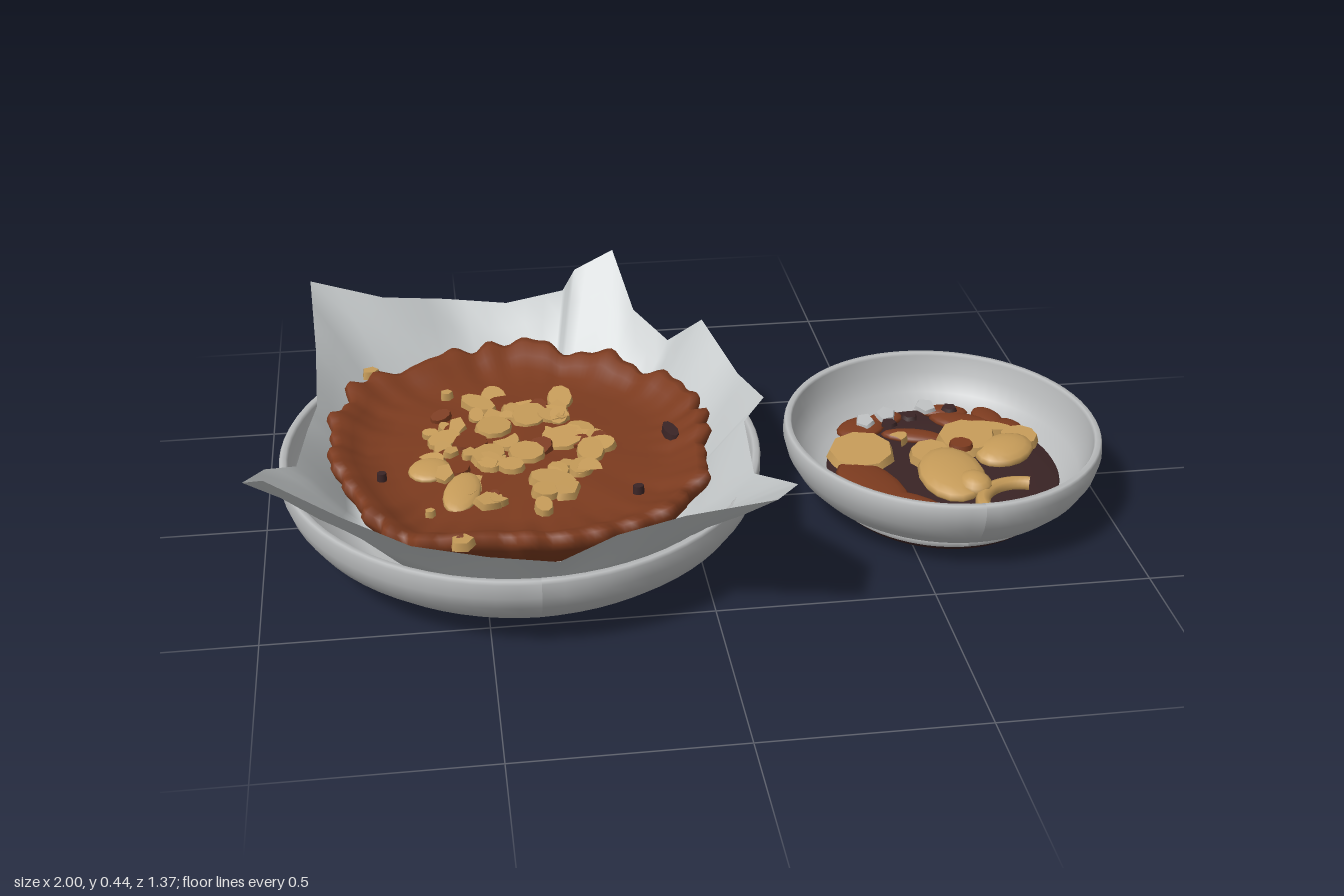
import * as THREE from 'three';

const mat = (name, color, extra = {}) => {
  const m = new THREE.MeshStandardMaterial({ color, ...extra });
  m.name = name;
  return m;
};

let seed = 11;
const rand = () => (seed = (seed * 16807) % 2147483647) / 2147483647;
const V = (x, y, z) => new THREE.Vector3(x, y, z);

// Surface through closed rings of equal length, first ring innermost on top
function loft(rings) {
  const n = rings[0].length, pos = [], idx = [];
  rings.forEach(r => r.forEach(p => pos.push(p.x, p.y, p.z)));
  for (let i = 0; i < rings.length - 1; i++) {
    for (let j = 0; j < n; j++) {
      const a = i * n + j, b = i * n + (j + 1) % n;
      idx.push(a, b, a + n, b, b + n, a + n);
    }
  }
  const g = new THREE.BufferGeometry();
  g.setAttribute('position', new THREE.Float32BufferAttribute(pos, 3));
  g.setIndex(idx);
  g.computeVertexNormals();
  return g;
}

// Oval vessel turned from a profile of [radius fraction, height]
function oval(profile, rx, rz) {
  const g = new THREE.LatheGeometry(profile.map(p => new THREE.Vector2(...p)), 72);
  g.scale(rx, 1, rz);
  g.computeVertexNormals();
  return g;
}

export function createModel() {
  const M = {
    ceramic: mat('ceramic grey', 0xb9bbbc),
    paper: mat('baking paper', 0xc2c6c7, { side: THREE.DoubleSide }),
    crust: mat('brown crust', 0x7c3b1f),
    nut: mat('golden nut', 0xc49a58),
    dark: mat('dark glaze', 0x3a2425),
  };
  const model = new THREE.Group();
  const add = (name, geo, m, x = 0, y = 0, z = 0, parent = model) => {
    const mesh = new THREE.Mesh(geo, m);
    mesh.name = name;
    mesh.position.set(x, y, z);
    parent.add(mesh);
    return mesh;
  };

  // Large serving dish
  add('servingDish', oval([
    [0, 0.01], [0.64, 0.01], [0.69, 0.006], [0.71, 0], [0.74, 0], [0.78, 0.015], [0.87, 0.052], [0.94, 0.085],
    [0.98, 0.118], [1, 0.15], [1, 0.183], [0.992, 0.19], [0.972, 0.19], [0.963, 0.183],
    [0.95, 0.14], [0.9, 0.1], [0.8, 0.06], [0.7, 0.03], [0, 0.03],
  ], 0.565, 0.635), M.ceramic, -0.392, 0, 0);

  // Crumpled baking paper: rim points [x, z, height], clockwise from above
  const rim = [
    [0.19, 0, 0.27], [0.14, 0.02, 0.22], [0.12, 0.28, 0.22], [0.16, 0.45, 0.29], [0.17, 0.54, 0.33],
    [0.1, 0.68, 0.375], [-0.08, 0.59, 0.3], [-0.22, 0.53, 0.23], [-0.35, 0.575, 0.2], [-0.5, 0.55, 0.21],
    [-0.66, 0.55, 0.25], [-0.8, 0.55, 0.33], [-0.95, 0.57, 0.44], [-1, 0.48, 0.39],
    [-0.975, 0.2, 0.27], [-0.91, 0.12, 0.23], [-0.89, -0.1, 0.21], [-0.87, -0.22, 0.21],
    [-0.87, -0.4, 0.28], [-0.88, -0.62, 0.37], [-0.7, -0.63, 0.31], [-0.54, -0.69, 0.27],
    [-0.38, -0.675, 0.255], [-0.23, -0.68, 0.28], [-0.2, -0.65, 0.35], [-0.1, -0.65, 0.4],
    [-0.06, -0.53, 0.28], [0.02, -0.46, 0.22], [0.1, -0.4, 0.3], [0.16, -0.2, 0.24],
  ];
  const edge = [];
  rim.forEach((p, i) => {
    const a = V(p[0], p[2], p[1]), q = rim[(i + 1) % rim.length], b = V(q[0], q[2], q[1]);
    for (let k = 0; k < 3; k++) edge.push(a.clone().lerp(b, k / 3));
  });
  const base = edge.map(p => {
    const a = Math.atan2(p.z / 0.635, (p.x + 0.39) / 0.565);
    return V(-0.39 + 0.39 * Math.cos(a), 0.05, 0.44 * Math.sin(a));
  });
  const sheet = [base.map(() => V(-0.39, 0.045, 0)), base];
  for (const t of [0.25, 0.5, 0.75, 1]) {
    sheet.push(base.map((b, j) => {
      const p = b.clone().lerp(edge[j], t);
      if (t < 1) p.y += 0.008 * Math.sin(p.x * 19 + 1) * Math.sin(p.z * 17) + 0.006;
      return p;
    }));
  }
  add('bakingPaper', loft(sheet), M.paper);

  // Tart with a raised, unevenly crimped crust
  const outline = new THREE.CatmullRomCurve3([
    [0.05, 0], [0.04, 0.1], [0.01, 0.25], [-0.1, 0.4], [-0.3, 0.48], [-0.5, 0.46], [-0.68, 0.44],
    [-0.75, 0.32], [-0.8, 0.18], [-0.84, 0], [-0.83, -0.18], [-0.77, -0.36], [-0.62, -0.45],
    [-0.5, -0.52], [-0.37, -0.55], [-0.22, -0.48], [-0.1, -0.4], [0, -0.29], [0.06, -0.15],
  ].map(([x, z]) => V(x, 0, z)), true).getSpacedPoints(200).slice(0, 200);
  const centre = V(-0.39, 0, -0.03);
  const tart = [
    [0, 0.172], [0.25, 0.172], [0.5, 0.168], [0.68, 0.163], [0.8, 0.168], [0.88, 0.187],
    [0.94, 0.204], [0.985, 0.204], [1, 0.188], [0.985, 0.168], [0.9, 0.115], [0.72, 0.062], [0, 0.06],
  ].map(([f, y]) => outline.map((p, j) => {
    const a = j / 200 * Math.PI * 2, e = Math.max(0, (f - 0.7) / 0.3);
    const ruffle = 0.016 * Math.sin(a * 23 + 3 * Math.sin(a * 3)) + 0.014 * Math.sin(a * 13 + 2)
      + 0.012 * Math.sin(a * 37 + 1);
    const q = centre.clone().lerp(p, f * (1 + e * e * ruffle));
    q.y = y + e * 0.35 * ruffle + (f > 0 && f < 0.9 ? 0.003 * Math.sin(q.x * 31) * Math.sin(q.z * 27) : 0);
    return q;
  }));
  add('tart', loft(tart), M.crust);

  // Nut pieces: flat angular slices, a few rounded ones
  const round = new THREE.SphereGeometry(1, 16, 8);
  const slice = new THREE.CylinderGeometry(0.9, 1, 1.6, 9);
  const half = new THREE.CylinderGeometry(0.9, 1, 1.6, 8, 1, false, 0, Math.PI * 1.1);
  const chip = new THREE.CylinderGeometry(0.85, 1, 1.6, 5);
  const cuts = [slice, half, chip];
  const topping = new THREE.Group();
  topping.name = 'tartTopping';
  model.add(topping);
  const piece = (name, m, x, y, z, w, h, d, turn, geo = round, parent = topping, tilt = 0) => {
    const p = add(name, geo, m, x, y, z, parent);
    p.scale.set(w, h, d);
    p.rotation.set(tilt, turn, tilt * 0.6);
  };
  [
    [-0.61, 0.08, 0.05, 0.048], [-0.54, 0.2, 0.075, 0.042], [-0.36, -0.16, 0.045, 0.055],
    [-0.45, -0.11, 0.05, 0.045], [-0.38, 0.03, 0.05, 0.045], [-0.29, -0.03, 0.055, 0.05],
    [-0.23, 0.04, 0.05, 0.035], [-0.33, 0.17, 0.06, 0.035], [-0.47, 0.03, 0.05, 0.04],
    [-0.48, -0.24, 0.06, 0.03], [-0.57, -0.06, 0.045, 0.035], [-0.36, 0.29, 0.03, 0.022],
    [-0.35, 0.22, 0.035, 0.03], [-0.26, 0.12, 0.04, 0.03], [-0.42, 0.09, 0.035, 0.03],
  ].forEach(([x, z, w, d], i) =>
    piece('nut', M.nut, x, 0.176, z, w, 0.013, d, i * 1.3, i < 2 ? round : slice, topping, 0.12));
  for (let i = 0; i < 50; i++) {
    const a = rand() * Math.PI * 2, r = Math.sqrt(rand()), s = 0.015 + rand() * 0.02;
    const crumb = i % 6 === 0;
    piece(crumb ? 'crustCrumb' : 'nutChip', crumb ? M.crust : M.nut, -0.4 + 0.22 * r * Math.cos(a),
      0.177, -0.01 + 0.29 * r * Math.sin(a), s * 1.35, 0.01, s, rand() * 6, cuts[i % 3], topping, 0.2);
  }
  // Stray chips and dark spots near the crust
  [[-0.74, -0.41, 0.024, 0.2], [-0.55, 0.465, 0.03, 0.2], [-0.555, -0.32, 0.018, 0.17],
    [-0.615, 0.275, 0.014, 0.17]].forEach(([x, z, s, y]) =>
    piece('strayChip', M.nut, x, y, z, s, 0.012, s * 0.9, 0.4, chip));
  [[-0.03, -0.03, 0.018, 0.045], [-0.14, 0.24, 0.014, 0.012], [-0.72, 0.1, 0.012, 0.012]].forEach(
    ([x, z, w, d]) => piece('darkSpot', M.dark, x, 0.178, z, w, 0.012, d, 0.2, slice));

  // Small bowl with a grey foot ring and a dark underside
  const bowl = new THREE.Group();
  bowl.name = 'smallBowl';
  bowl.position.set(0.62, 0, 0.037);
  model.add(bowl);
  add('bowlBody', oval([
    [0, 0.03], [0.7, 0.03], [0.74, 0.038], [0.84, 0.06], [0.92, 0.09], [0.975, 0.125], [1, 0.16],
    [0.995, 0.183], [0.985, 0.19], [0.955, 0.19], [0.945, 0.183], [0.93, 0.14], [0.87, 0.095],
    [0.77, 0.065], [0.65, 0.05], [0, 0.05],
  ], 0.38, 0.417), M.ceramic, 0, 0, 0, bowl);
  add('footRing', oval([[0.68, 0.012], [0.7, 0.015], [0.7, 0.028], [0.69, 0.034]], 0.38, 0.417),
    M.ceramic, 0, 0, 0, bowl);
  add('footUnderside', oval([[0, 0.012], [0.58, 0.012], [0.61, 0], [0.66, 0], [0.68, 0.012]], 0.38, 0.417),
    M.dark, 0, 0, 0, bowl);
  add('darkSauce', oval([[0.74, 0.06], [0.72, 0.072], [0.5, 0.076], [0, 0.076]], 0.38, 0.417),
    M.dark, 0.01, 0, 0, bowl);

  // Sauce streaks, nuts and crumbs inside the small bowl
  const fill = new THREE.Group();
  fill.name = 'bowlFilling';
  model.add(fill);
  [
    [0.435, 0.13, 0.07, 0.14, 0.25], [0.52, 0.25, 0.05, 0.11, 0.7], [0.47, -0.17, 0.07, 0.05, 0.6],
    [0.74, -0.16, 0.1, 0.045, -0.6], [0.8, -0.18, 0.035, 0.06, 0.2], [0.84, -0.11, 0.035, 0.06, 0.1],
    [0.59, -0.11, 0.08, 0.03, -0.3], [0.7, -0.23, 0.06, 0.03, -0.2], [0.54, -0.21, 0.05, 0.03, 0.3],
  ].forEach(([x, z, w, d, t]) => piece('brownStreak', M.crust, x, 0.08, z, w, 0.015, d, t, round, fill));
  [
    [0.44, -0.03, 0.085, 0.085, 0.4, slice], [0.63, 0.12, 0.08, 0.115, 0, round], [0.71, -0.05, 0.075, 0.075, 0.3, slice],
    [0.79, 0.01, 0.08, 0.06, 0.5, round], [0.84, -0.04, 0.05, 0.05, 0, slice], [0.6, 0.02, 0.055, 0.05, 0.8, slice],
    [0.54, -0.08, 0.035, 0.02, 0.5, half], [0.78, -0.1, 0.065, 0.022, -0.4, slice], [0.67, 0.18, 0.04, 0.045, 0.3, round],
  ].forEach(([x, z, w, d, t, geo], i) =>
    piece('bowlNut', M.nut, x, 0.088 + (i % 3) * 0.005, z, w, geo === round ? 0.026 : 0.013, d, t, geo, fill, 0.08));
  piece('nutCore', M.crust, 0.68, 0.113, 0.01, 0.03, 0.008, 0.03, 0, slice, fill);
  const crescent = add('nutCrescent', new THREE.TorusGeometry(0.1, 0.018, 8, 20, 2.5), M.nut, 0.77, 0.085, 0.27, fill);
  crescent.rotation.set(-Math.PI / 2, 0, 1.2);
  [[0.48, -0.17], [0.65, -0.23], [0.54, -0.2]].forEach(([x, z], i) => {
    piece('paleFlake', M.ceramic, x, 0.1, z, 0.026, 0.006, 0.03, i, chip, fill, 0.2);
    piece('darkCrumb', M.dark, x + 0.06, 0.095, z + 0.01, 0.022, 0.006, 0.022, i, chip, fill);
  });

  return model;
}
